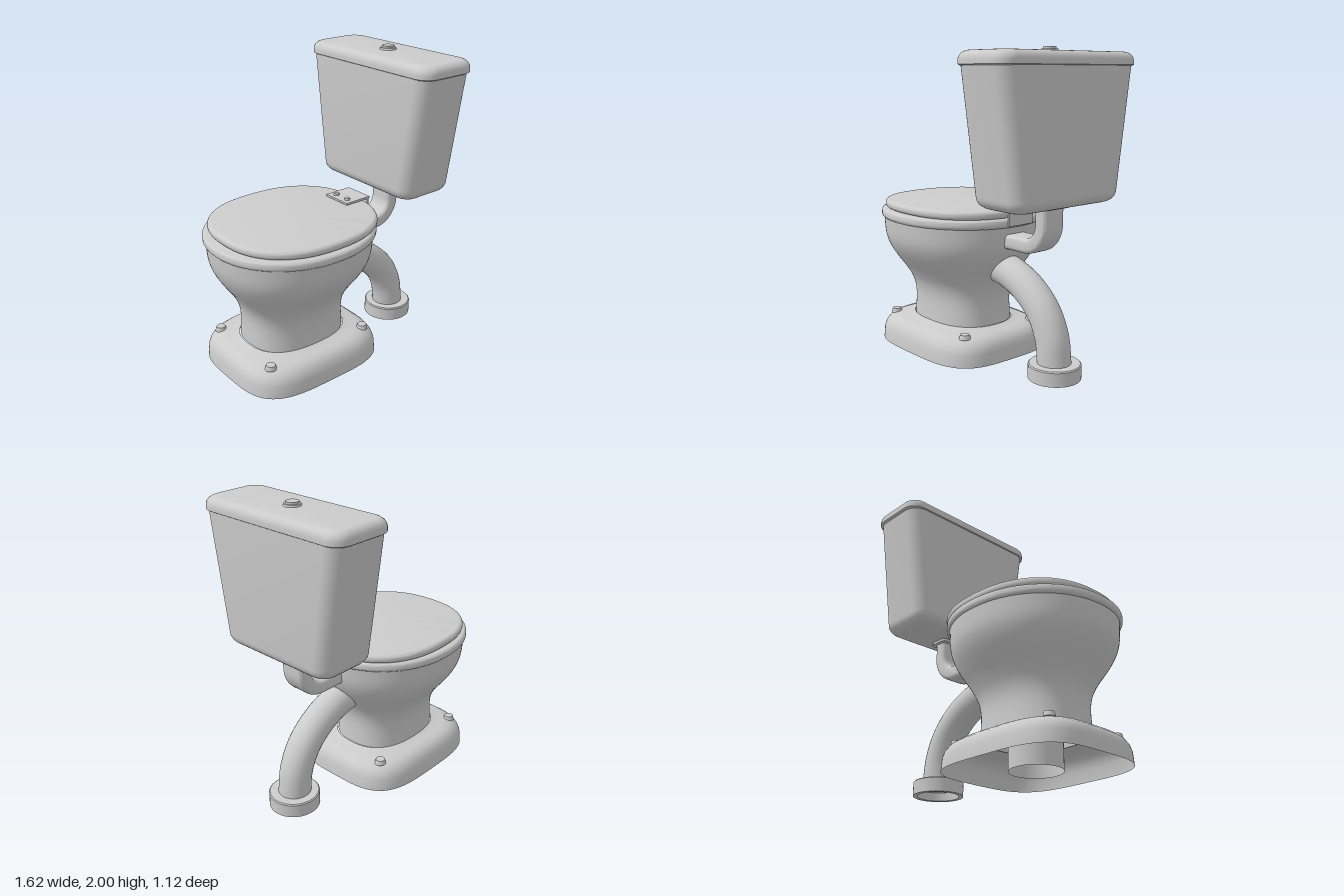
import * as THREE from 'three';
import { toCreasedNormals } from 'three/addons/utils/BufferGeometryUtils.js';

const V = (x, y, z) => new THREE.Vector3(x, y, z);
const material = new THREE.MeshStandardMaterial({ color: 0xcccccc });
const thinMaterial = new THREE.MeshStandardMaterial({ color: 0xcccccc, side: THREE.DoubleSide });

// Skin a list of closed rings (equal point counts), optionally capped
function loft(rings, capStart = true, capEnd = true) {
  const n = rings[0].length, pos = [], idx = [];
  rings.forEach(r => r.forEach(p => pos.push(p.x, p.y, p.z)));
  for (let j = 0; j < rings.length - 1; j++) {
    for (let i = 0; i < n; i++) {
      const p = j * n + i, q = j * n + (i + 1) % n;
      idx.push(p, p + n, q, q, p + n, q + n);
    }
  }
  const cap = (j, flip) => {
    const c = rings[j].reduce((s, p) => s.add(p), V(0, 0, 0)).divideScalar(n);
    const k = pos.length / 3;
    pos.push(c.x, c.y, c.z);
    for (let i = 0; i < n; i++) {
      const p = j * n + i, q = j * n + (i + 1) % n;
      idx.push(k, flip ? q : p, flip ? p : q);
    }
  };
  if (capStart) cap(0, false);
  if (capEnd) cap(rings.length - 1, true);
  const g = new THREE.BufferGeometry();
  g.setAttribute('position', new THREE.Float32BufferAttribute(pos, 3));
  g.setIndex(idx);
  return toCreasedNormals(g, 0.7);
}

// Horizontal superellipse ring: half sizes a, b and exponent n
function oval(cx, y, a, b, n, count = 72) {
  const f = v => Math.sign(v) * Math.pow(Math.abs(v), 2 / n);
  return Array.from({ length: count }, (_, i) => {
    const t = (i / count) * Math.PI * 2;
    return V(cx + a * f(Math.cos(t)), y, b * f(Math.sin(t)));
  });
}

// Rounded rectangle outline as [u, v] pairs
function roundRect(hu, hv, r, steps = 6) {
  const out = [];
  [[1, 1], [-1, 1], [-1, -1], [1, -1]].forEach(([su, sv], k) => {
    for (let i = 0; i <= steps; i++) {
      const t = (k + i / steps) * Math.PI / 2;
      out.push([su * (hu - r) + r * Math.cos(t), sv * (hv - r) + r * Math.sin(t)]);
    }
  });
  return out;
}

export function createModel() {
  const model = new THREE.Group();
  const add = (name, geometry, x = 0, y = 0, z = 0, mat = material) => {
    const m = new THREE.Mesh(geometry, mat);
    m.name = name;
    m.position.set(x, y, z);
    model.add(m);
    return m;
  };
  const cyl = (r, h, r2 = r) => new THREE.CylinderGeometry(r2, r, h, 28);
  const bx = -0.25;

  // Hollow foot, open underneath: [y, half x, half z, exponent]
  const foot = [[0.01, 0.52, 0.445, 3.6], [0.09, 0.513, 0.44, 3.6], [0.125, 0.503, 0.428, 3.6],
    [0.155, 0.485, 0.41, 3.5], [0.178, 0.455, 0.383, 3.4], [0.19, 0.41, 0.34, 3.2], [0.195, 0.375, 0.30, 2.8],
    [0.205, 0.355, 0.277, 2.5]];
  add('foot', loft(foot.map(([y, a, b, n]) => oval(bx, y, a, b, n)), false, false), 0, 0, 0, thinMaterial);

  // Stem flaring into the bowl
  const spline = new THREE.SplineCurve([[0.345, 0.2], [0.34, 0.35], [0.358, 0.45], [0.405, 0.54], [0.46, 0.62],
    [0.508, 0.70], [0.535, 0.78], [0.545, 0.895]].map(p => new THREE.Vector2(...p)));
  const bowlRings = spline.getPoints(28).map(p => {
    const k = (p.x - 0.34) / 0.205;
    return oval(bx, p.y, p.x, 0.27 + 0.235 * k, 2.5 - 0.4 * k);
  });
  add('bowl', loft(bowlRings, false, true), 0, 0, 0, thinMaterial);
  add('innerDrain', new THREE.CylinderGeometry(0.165, 0.165, 0.6, 32, 1, true), bx, 0.3, 0, thinMaterial);

  // Seat and lid: slabs with rounded edges
  const slab = (cx, y0, y1, a, b, n, r) => {
    const rings = [];
    for (const [base, from, s] of [[y0, 0, 1], [y1, 1, -1]]) {
      for (let i = 0; i <= 5; i++) {
        const t = ((from ? 5 - i : i) / 5) * Math.PI / 2;
        const inset = r * (1 - Math.sin(t));
        rings.push(oval(cx, base + s * r * (1 - Math.cos(t)), a - inset, b - inset, n));
      }
    }
    return loft(rings);
  };
  add('seat', slab(bx + 0.002, 0.893, 0.953, 0.566, 0.52, 2.1, 0.022));
  add('lid', slab(-0.225, 0.955, 1.012, 0.535, 0.49, 2.35, 0.026));

  // Lid hinge bracket
  add('hingePlate', new THREE.BoxGeometry(0.2, 0.014, 0.21), 0.24, 1.024, 0);
  add('hingeUpright', new THREE.BoxGeometry(0.014, 0.115, 0.2), 0.331, 0.967, 0);
  for (const z of [-0.055, 0.055]) add('hingeBolt', cyl(0.021, 0.02, 0.018), 0.187, 1.034, z);

  // Floor bolts
  for (const x of [-0.63, 0.13]) {
    for (const z of [-0.29, 0.29]) {
      add('floorBolt', cyl(0.038, 0.03, 0.03), x, 0.19, z);
    }
  }

  // Tank, wider towards the top, with a rounded bottom edge
  const tx = 0.567;
  const rectRing = (y, hx, hz, r) => roundRect(hx, hz, r).map(([u, v]) => V(tx + u, y, v));
  const tankRings = [];
  for (let i = 0; i <= 7; i++) {
    const t = (i / 7) * Math.PI / 2, inset = 0.075 * (1 - Math.sin(t));
    tankRings.push(rectRing(1.068 + 0.075 * (1 - Math.cos(t)), 0.215 - inset, 0.438 - inset, 0.1 - inset * 0.6));
  }
  tankRings.push(rectRing(1.9, 0.215, 0.547, 0.1));
  add('tank', loft(tankRings));

  // Tank lid with a rounded top edge
  const lidRings = [rectRing(1.89, 0.21, 0.55, 0.09), rectRing(1.897, 0.222, 0.562, 0.1)];
  for (let i = 0; i <= 6; i++) {
    const t = (i / 6) * Math.PI / 2, inset = 0.055 * (1 - Math.cos(t));
    lidRings.push(rectRing(1.92 + 0.055 * Math.sin(t), 0.222 - inset, 0.562 - inset, 0.1 - inset * 0.6));
  }
  add('tankLid', loft(lidRings));
  add('buttonRing', cyl(0.055, 0.014, 0.05), tx, 1.98, 0);
  add('flushButton', cyl(0.04, 0.026), tx, 1.987, 0);

  // Flat flush pipe from the tank to the bowl
  add('tankCollar', loft([1.05, 1.075].map(y =>
    roundRect(0.072, 0.11, 0.03).map(([u, v]) => V(0.58 + u, y, v)))));
  const flush = [[V(0.583, 1.06, 0), V(0, -1, 0)]];
  const R = 0.145;
  for (let i = 0; i <= 14; i++) {
    const t = (i / 14) * Math.PI / 2;
    flush.push([V(0.583 - R + R * Math.cos(t), 0.802 + R - R * Math.sin(t), 0), V(-Math.sin(t), -Math.cos(t), 0)]);
  }
  flush.push([V(0.2, 0.802, 0), V(-1, 0, 0)]);
  const section = roundRect(0.047, 0.087, 0.028);
  add('flushPipe', loft(flush.map(([c, t]) => {
    const across = t.clone().cross(V(0, 0, 1));
    return section.map(([u, v]) => c.clone().addScaledVector(across, u).add(V(0, 0, v)));
  })));

  // Waste pipe and its floor flange
  const waste = new THREE.CatmullRomCurve3([V(0.1, 0.612, 0), V(0.24, 0.588, 0), V(0.4, 0.52, 0),
    V(0.54, 0.4, 0), V(0.618, 0.25, 0), V(0.645, 0.06, 0)]);
  add('wastePipe', new THREE.TubeGeometry(waste, 32, 0.106, 28), 0, 0, 0, thinMaterial);
  const flange = [[0, 0.055], [0.135, 0.055], [0.135, 0], [0.165, 0], [0.165, 0.088], [0.158, 0.095], [0, 0.095]];
  add('wasteFlange', toCreasedNormals(new THREE.LatheGeometry(
    flange.map(p => new THREE.Vector2(...p)), 40), 0.6), 0.645, 0, 0);

  return model;
}
